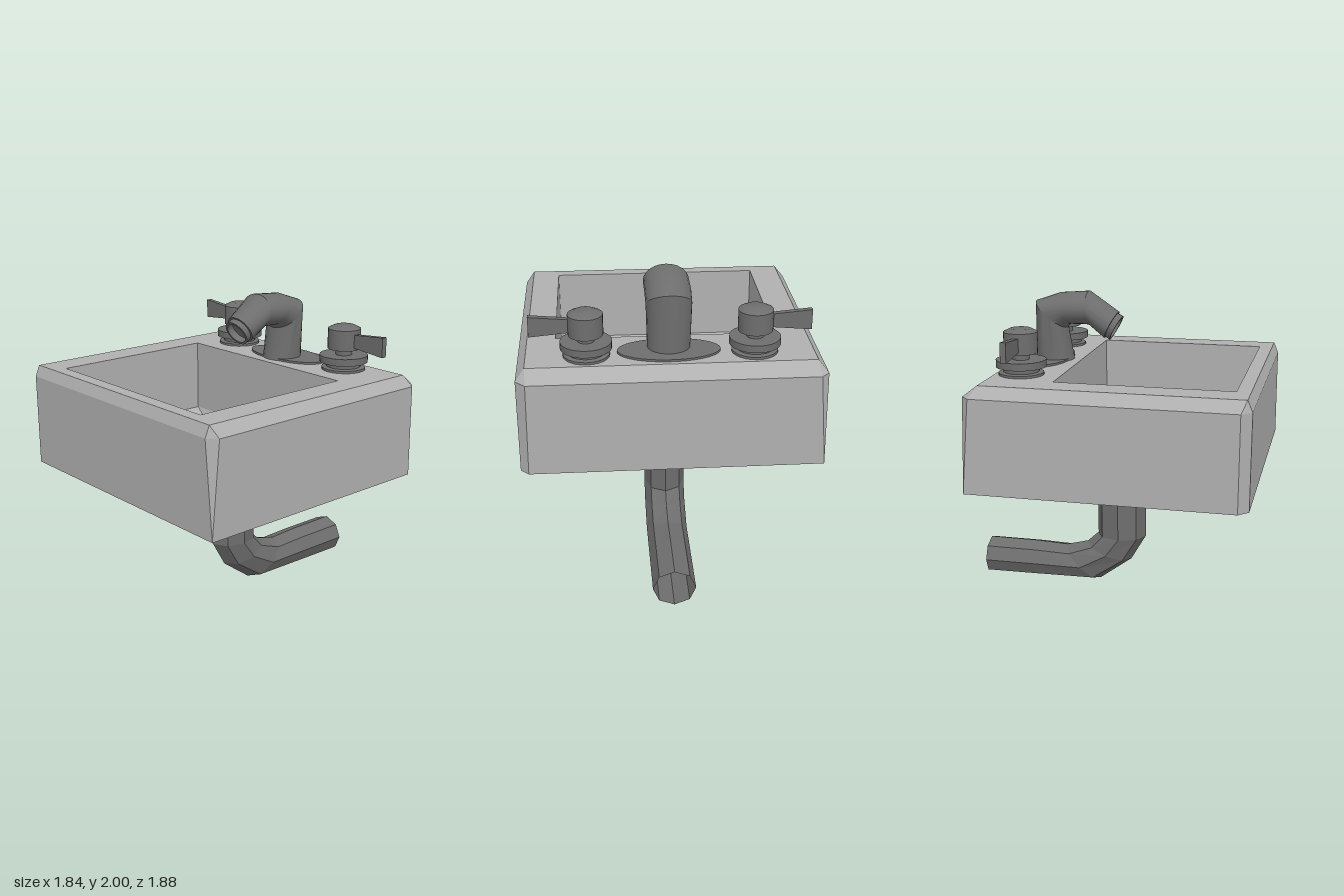
import * as THREE from 'three';
import { toCreasedNormals } from 'three/addons/utils/BufferGeometryUtils.js';

const ceramic = new THREE.MeshStandardMaterial({ color: 0xb0b0b0 });
ceramic.name = 'ceramic grey';
const metal = new THREE.MeshStandardMaterial({ color: 0x6e6e6e, side: THREE.DoubleSide });
metal.name = 'dark metal';

function part(name, geometry, material) {
  const mesh = new THREE.Mesh(geometry, material);
  mesh.name = name;
  return mesh;
}

// Skins a series of closed rings (arrays of Vector3); crease 0 gives flat facets.
function loft(rings, crease = 0) {
  const pos = [];
  const tri = (a, b, c) => {
    if (new THREE.Triangle(a, b, c).getArea() > 1e-7) {
      for (const p of [a, b, c]) pos.push(p.x, p.y, p.z);
    }
  };
  for (let i = 0; i < rings.length - 1; i++) {
    const n = rings[i].length;
    for (let j = 0; j < n; j++) {
      const k = (j + 1) % n;
      tri(rings[i][j], rings[i + 1][j], rings[i][k]);
      tri(rings[i + 1][j], rings[i + 1][k], rings[i][k]);
    }
  }
  const g = new THREE.BufferGeometry();
  g.setAttribute('position', new THREE.Float32BufferAttribute(pos, 3));
  g.computeVertexNormals();
  return crease ? toCreasedNormals(g, crease) : g;
}

// Rings of a bent tube: [outer z, outer y, inner z, inner y, half width]
function tubeRings(sections, sides, cx) {
  return sections.map(([oz, oy, iz, iy, hw]) => {
    const cz = (oz + iz) / 2, cy = (oy + iy) / 2;
    return Array.from({ length: sides }, (_, j) => {
      const t = (j / sides) * Math.PI * 2, c = Math.cos(t);
      return new THREE.Vector3(cx + Math.sin(t) * hw, cy + c * (oy - cy), cz + c * (oz - cz));
    });
  });
}

// Rectangle with mid-side points; chamfers in the order +x+z, -x+z, -x-z, +x-z
function rectRing(y, x0, x1, z0, z1, [a, b, c, d] = [0, 0, 0, 0]) {
  return [
    [x1, 0], [x1, z1 - a], [x1 - a, z1],
    [0, z1], [x0 + b, z1], [x0, z1 - b],
    [x0, 0], [x0, z0 + c], [x0 + c, z0],
    [0, z0], [x1 - d, z0], [x1, z0 + d],
  ].map(([x, z]) => new THREE.Vector3(x, y, z));
}

// Eight-sided drain opening, its diagonal corners doubled to match rectRing
function drainRing(y) {
  return [0, 1, 1, 2, 3, 3, 4, 5, 5, 6, 7, 7].map((k) => {
    const t = (k * Math.PI) / 4;
    return new THREE.Vector3(0.005 + 0.135 * Math.cos(t), y, 0.165 * Math.sin(t));
  });
}

function makeHandle() {
  const g = new THREE.Group();
  // Mounting plate, flange, neck and hub
  const profile = [
    [0, 1.54], [0.14, 1.54], [0.14, 1.565], [0.11, 1.57], [0.11, 1.6], [0.155, 1.6],
    [0.155, 1.645], [0.052, 1.645], [0.052, 1.68], [0.105, 1.685], [0.105, 1.815],
    [0.065, 1.835], [0, 1.835],
  ].map(([r, y]) => new THREE.Vector2(r, y));
  g.add(part('valve', toCreasedNormals(new THREE.LatheGeometry(profile, 24), 0.5), metal));

  // Lever, flaring slightly toward its tip
  const shape = new THREE.Shape();
  shape.moveTo(0.08, 1.705);
  shape.lineTo(0.335, 1.682);
  shape.lineTo(0.335, 1.808);
  shape.lineTo(0.08, 1.785);
  const lever = part('lever', new THREE.ExtrudeGeometry(shape, { depth: 0.036, bevelEnabled: false }), metal);
  lever.position.z = -0.018;
  g.add(lever);
  return g;
}

export function createModel() {
  const model = new THREE.Group();
  model.name = 'sink';

  // Basin: sloped underside, walls, bevelled rim, bowl and sloped floor
  model.add(part('basin', loft([
    drainRing(0.75),
    rectRing(0.89, -0.92, 0.92, -0.77, 0.94, [0, 0.06, 0, 0.05]),
    rectRing(1.48, -0.92, 0.92, -0.77, 0.94, [0.055, 0.06, 0.05, 0.06]),
    rectRing(1.55, -0.86, 0.865, -0.68, 0.91),
    rectRing(1.55, -0.67, 0.69, -0.27, 0.825),
    rectRing(1.08, -0.67, 0.69, -0.27, 0.815),
    drainRing(0.75),
  ]), ceramic));

  // Open-ended drain pipe that bends to the back
  model.add(part('drainPipe', loft(tubeRings([
    [0.165, 0.75, -0.165, 0.75, 0.135],
    [0.165, 0.35, -0.165, 0.35, 0.135],
    [0.065, 0.175, -0.24, 0.28, 0.135],
    [-0.15, 0.015, -0.39, 0.24, 0.135],
    [-0.6, 0.005, -0.6, 0.25, 0.135],
    [-0.94, 0, -0.94, 0.25, 0.135],
  ], 8, 0.005)), metal));

  // Oval plate under the spout
  const plate = part('spoutPlate', toCreasedNormals(new THREE.CylinderGeometry(1, 1, 0.02, 40), 0.5), metal);
  plate.scale.set(0.31, 1, 0.155);
  plate.position.set(0.01, 1.553, -0.495);
  model.add(plate);

  // Spout, ending in a narrower recessed nozzle
  model.add(part('spout', loft(tubeRings([
    [-0.57, 1.55, -0.325, 1.55, 0.13],
    [-0.57, 1.93, -0.365, 1.76, 0.138],
    [-0.41, 1.985, -0.34, 1.785, 0.14],
    [-0.22, 2.0, -0.21, 1.785, 0.14],
    [-0.025, 1.87, -0.115, 1.7, 0.108],
    [-0.03, 1.86, -0.11, 1.71, 0.093],
    [0.003, 1.842, -0.08, 1.69, 0.093],
    [-0.005, 1.828, -0.072, 1.704, 0.077],
    [-0.045, 1.85, -0.112, 1.726, 0.077],
    [-0.078, 1.788, -0.079, 1.787, 0.001],
  ], 24, 0.008), 0.5), metal));

  // Two mirrored tap handles
  for (const side of [1, -1]) {
    const handle = makeHandle();
    handle.name = side > 0 ? 'leftHandle' : 'rightHandle';
    handle.position.set(0.503 * side, 0, -0.52);
    if (side < 0) handle.rotation.y = Math.PI;
    model.add(handle);
  }
  return model;
}
